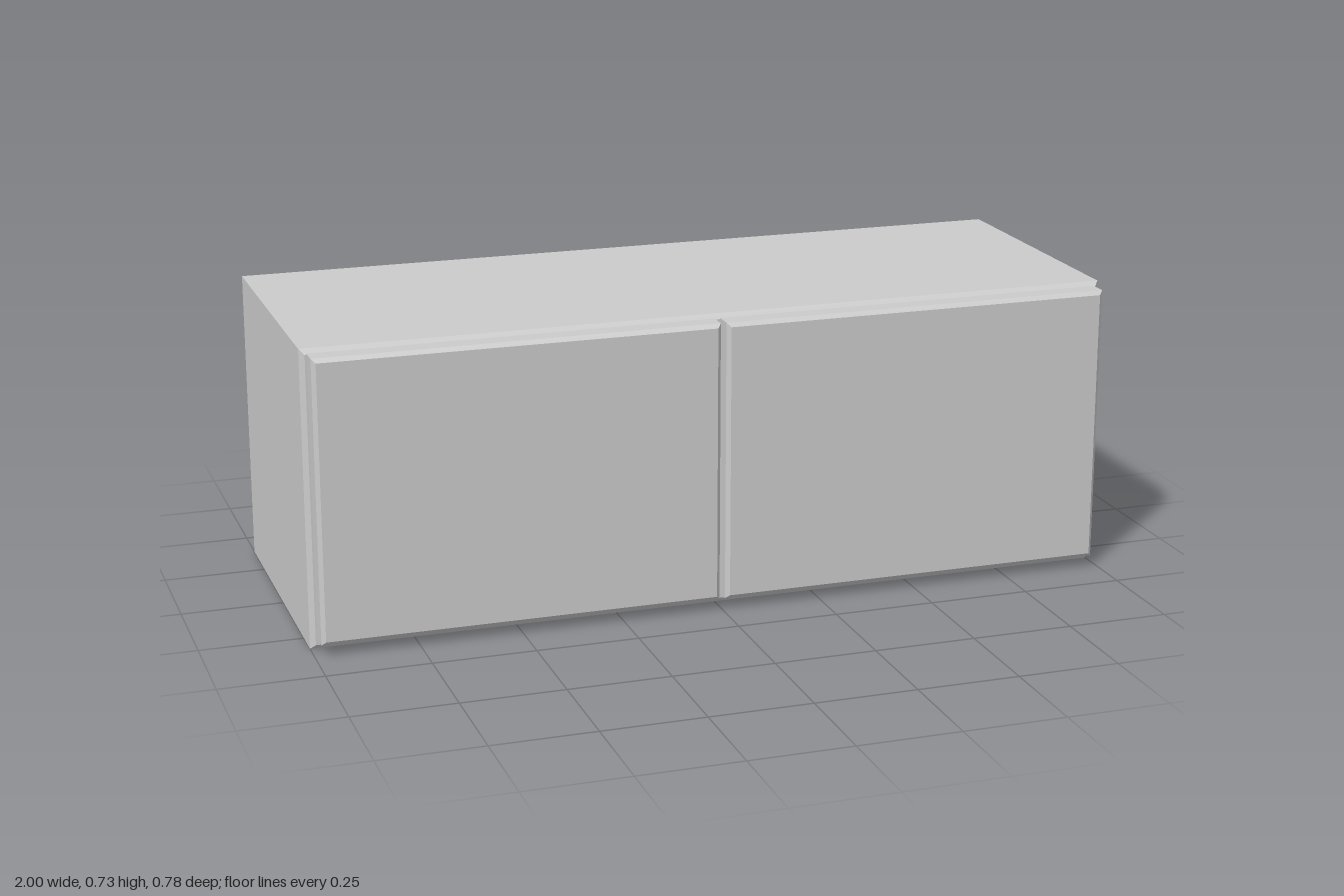
import * as THREE from 'three';

// Box between two corners whose front (+z) edges are chamfered by c
function chamferedBox(name, [x0, y0, z0], [x1, y1, z1], c, material) {
  const w = x1 - x0, h = y1 - y0, d = z1 - z0;
  const geo = new THREE.BoxGeometry(w, h, d, 1, 1, 2);
  const pos = geo.attributes.position;
  for (let i = 0; i < pos.count; i++) {
    const x = pos.getX(i), y = pos.getY(i), z = pos.getZ(i);
    if (z > d / 4) {
      // front ring and face shrink inward
      pos.setX(i, x - Math.sign(x) * c);
      pos.setY(i, y - Math.sign(y) * c);
    } else if (z > -d / 4) {
      // middle ring becomes the start of the chamfer
      pos.setZ(i, d / 2 - c);
    }
  }
  const flat = geo.toNonIndexed();
  flat.computeVertexNormals();
  const mesh = new THREE.Mesh(flat, material);
  mesh.name = name;
  mesh.position.set((x0 + x1) / 2, (y0 + y1) / 2, (z0 + z1) / 2);
  return mesh;
}

export function createModel() {
  const group = new THREE.Group();
  group.name = 'wallCabinet';
  const material = new THREE.MeshStandardMaterial({ color: 0xcccccc, flatShading: true });

  // Carcass
  group.add(chamferedBox('cabinetBody', [-1, 0, -0.39], [1, 0.727, 0.334], 0.012, material));

  // Pair of doors with a narrow gap between them
  const inner = 0.007, outer = 0.984;
  for (const [name, a, b] of [['leftDoor', inner, outer], ['rightDoor', -outer, -inner]]) {
    group.add(chamferedBox(name, [a, 0.028, 0.334], [b, 0.718, 0.39], 0.0095, material));
  }
  return group;
}
